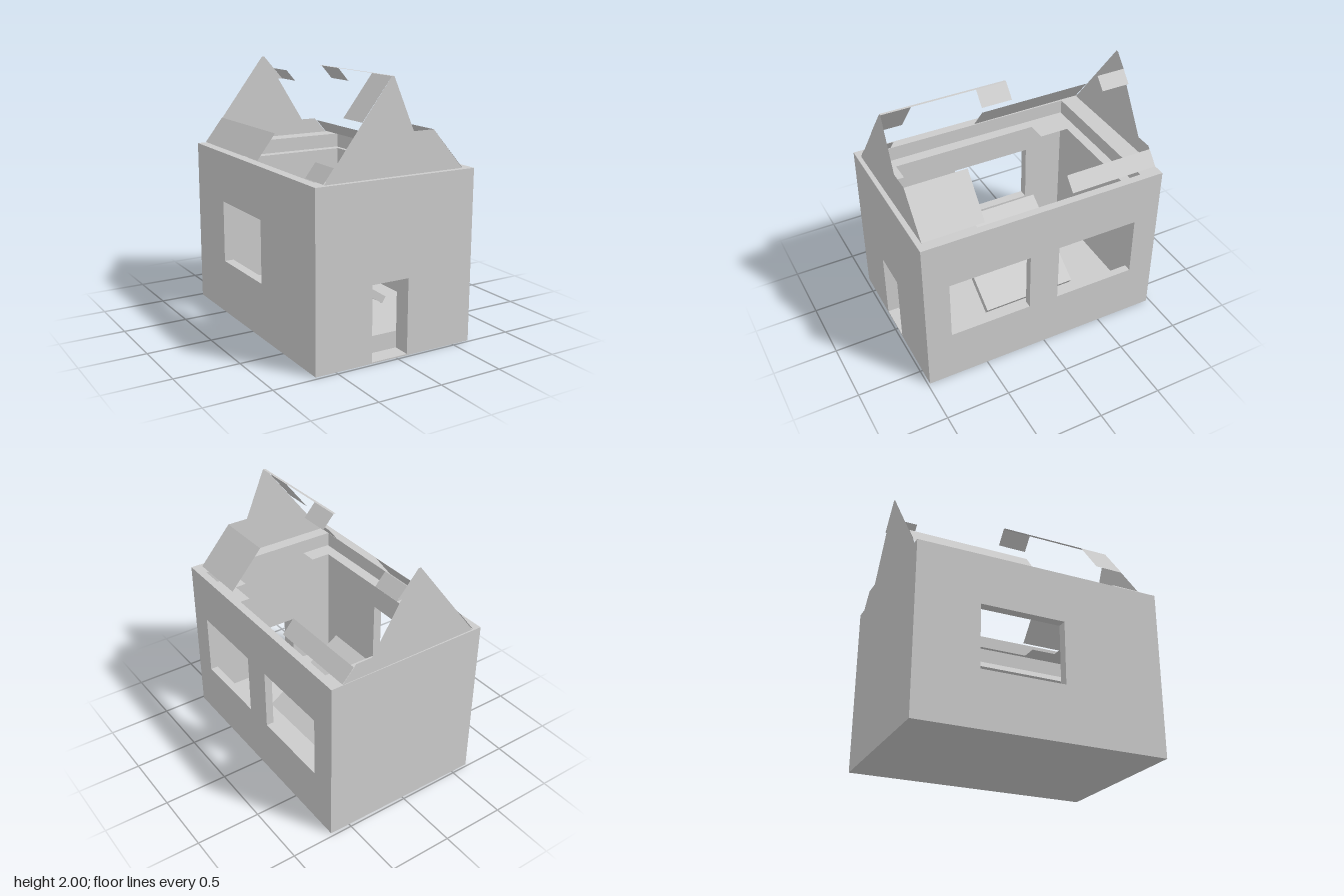
import * as THREE from 'three';

const solid = new THREE.MeshStandardMaterial({ color: 0xcccccc, flatShading: true });
const thin = new THREE.MeshStandardMaterial({ color: 0xcccccc, flatShading: true, side: THREE.DoubleSide });

function add(parent, name, geometry, material = solid) {
  const mesh = new THREE.Mesh(geometry, material);
  mesh.name = name;
  parent.add(mesh);
  return mesh;
}

function box(parent, name, x0, x1, y0, y1, z0, z1) {
  const mesh = add(parent, name, new THREE.BoxGeometry(x1 - x0, y1 - y0, z1 - z0));
  mesh.position.set((x0 + x1) / 2, (y0 + y1) / 2, (z0 + z1) / 2);
  return mesh;
}

const outline = (points) => new THREE.Shape(points.map(([x, y]) => new THREE.Vector2(x, y)));

// Upright wall with rectangular openings, given as [u0, u1, v0, v1]
function wallGeometry(u0, u1, height, thickness, openings) {
  const shape = outline([[u0, 0], [u1, 0], [u1, height], [u0, height]]);
  for (const [a, b, c, d] of openings) {
    shape.holes.push(outline([[a, c], [a, d], [b, d], [b, c]]));
  }
  return new THREE.ExtrudeGeometry(shape, { depth: thickness, bevelEnabled: false });
}

// Heights of the two roof slopes
const leftSlope = (x) => 2 + (x + 0.05) * 1.283;
const rightSlope = (x) => 2 - (x + 0.03) * 1.133;

// Thin remnant of roof following one slope
function roofPanel(parent, name, slope, x0, x1, z0, z1) {
  const y0 = slope(x0), y1 = slope(x1);
  const geometry = new THREE.BufferGeometry();
  geometry.setAttribute('position', new THREE.Float32BufferAttribute(
    [x0, y0, z0, x0, y0, z1, x1, y1, z1, x1, y1, z0], 3));
  geometry.setIndex([0, 1, 2, 0, 2, 3]);
  geometry.computeVertexNormals();
  add(parent, name, geometry, thin);
}

export function createModel() {
  const model = new THREE.Group();
  model.name = 'ruinedHouse';

  // Wall shell, set very slightly askew
  const H = 1.315, W = 0.653, D = 0.978;
  const shell = new THREE.Group();
  shell.name = 'wallShell';
  shell.rotation.y = -0.0077;
  model.add(shell);

  const front = add(shell, 'frontWall', wallGeometry(-W, W, H, 0.14, [[-0.2, 0.1, 0.01, 0.58]]));
  front.position.z = D - 0.14;
  box(shell, 'backWall', -W, W, 0, H, -D, -0.82);

  // Side walls: shape x runs along -z after the turn
  const zFront = D - 0.14, zBack = -0.82;
  const right = add(shell, 'windowWall', wallGeometry(-zFront, -zBack, H, 0.06,
    [[-0.78, -0.13, 0.43, 0.92], [0.11, 0.77, 0.43, 0.92]]));
  right.rotation.y = Math.PI / 2;
  right.position.x = W - 0.06;
  const left = add(shell, 'singleWindowWall', wallGeometry(-zFront, -zBack, H, 0.075,
    [[-0.17, 0.49, 0.43, 0.92]]));
  left.rotation.y = Math.PI / 2;
  left.position.x = -W;

  box(shell, 'floor', -W + 0.07, W - 0.055, 0, 0.14, zBack, zFront);

  // Fallen slab leaning across the room
  const slab = add(model, 'fallenSlab', new THREE.BoxGeometry(0.79, 0.06, 0.77));
  slab.position.set(-0.005, 0.398, -0.045);
  slab.rotation.z = -Math.atan(0.66);

  // Broken ceiling left around the walls, drawn as (x, z)
  const ceiling = outline([[-0.58, -0.82], [0.595, -0.82], [0.595, 0.84], [0.33, 0.84],
    [0.33, 0.68], [0.42, 0.68], [0.42, 0.47], [0.56, 0.47], [0.56, -0.74], [-0.33, -0.74],
    [-0.33, -0.5], [-0.49, -0.5], [-0.49, 0.7], [-0.33, 0.7], [-0.33, 0.84], [-0.58, 0.84]]);
  const ceilingMesh = add(model, 'brokenCeiling', new THREE.ShapeGeometry(ceiling), thin);
  ceilingMesh.rotation.x = Math.PI / 2;
  ceilingMesh.position.y = 1.2;

  // Thin gables with broken edges
  const gables = [
    ['frontGable', 0.94, [[0.31, 1.615], [0.14, 1.615]]],
    ['backGable', -0.97, [[0.46, 1.44], [0.33, 1.44], [0.1, 1.81], [0.14, 1.807]]],
  ];
  for (const [name, z, broken] of gables) {
    const shape = outline([[-0.58, 1.31], [0.575, 1.31], ...broken, [-0.03, 2], [-0.05, 2]]);
    add(model, name, new THREE.ShapeGeometry(shape), thin).position.z = z;
  }

  // Roof remnants
  const panels = [
    ['frontPeakPanel', leftSlope, -0.28, -0.05, 0.7, 0.94],
    ['frontLeftEavePanel', leftSlope, -0.58, -0.5, 0.7, 0.94],
    ['backLeftEavePanel', leftSlope, -0.58, -0.43, -0.97, -0.02],
    ['frontRightEavePanel', rightSlope, 0.31, 0.57, 0.46, 0.94],
    ['backRightEavePanel', rightSlope, 0.48, 0.57, -0.97, -0.25],
    ['backPeakPanel', rightSlope, 0.06, 0.14, -0.97, -0.74],
    ['ridgePanel', rightSlope, -0.03, 0.06, -0.02, 0.22],
    ['ridgeStrip', () => 2, -0.05, -0.03, -0.02, 0.94],
  ];
  for (const panel of panels) roofPanel(model, ...panel);

  return model;
}
